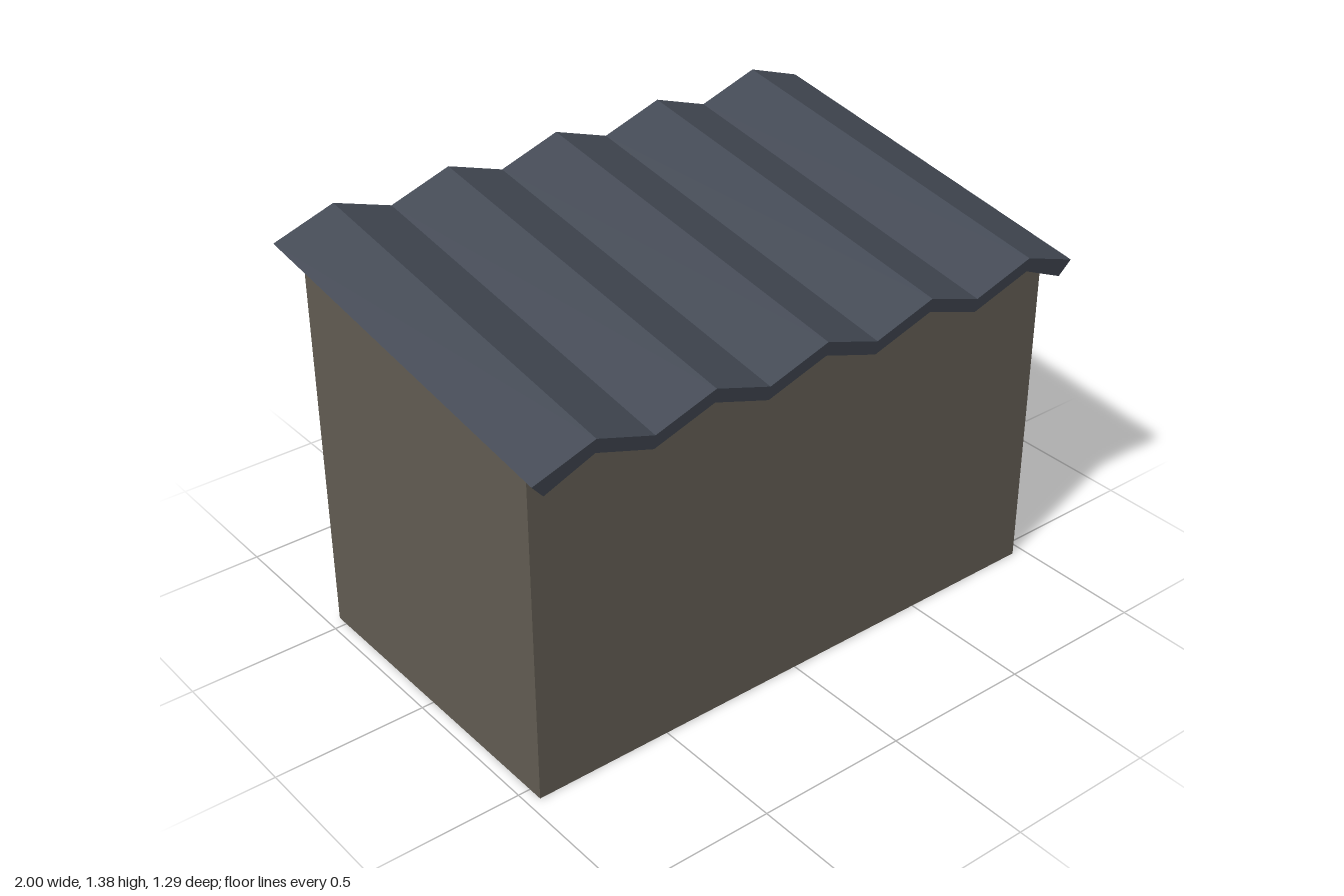
import * as THREE from 'three';

const mat = (color) => new THREE.MeshStandardMaterial({ color, flatShading: true });
const wallMat = mat(0x625c52), roofMat = mat(0x424853), frameMat = mat(0x484848);
const doorMat = mat(0x757178), floorMat = mat(0x3a2012), woodMat = mat(0x6b4520), metalMat = mat(0x55555a);

const poly = (pts) => new THREE.Shape(pts.map(([x, y]) => new THREE.Vector2(x, y)));
const rect = (x0, x1, y0, y1) => poly([[x0, y0], [x1, y0], [x1, y1], [x0, y1]]);
const extrude = (shape, depth) => new THREE.ExtrudeGeometry(shape, { depth, bevelEnabled: false, curveSegments: 8 });

export function createModel() {
  const model = new THREE.Group();
  const add = (name, geo, material, x = 0, y = 0, z = 0, parent = model) => {
    const mesh = new THREE.Mesh(geo, material);
    mesh.name = name;
    mesh.position.set(x, y, z);
    parent.add(mesh);
    return mesh;
  };
  const box = (name, w, h, d, material, x, y, z, parent) =>
    add(name, new THREE.BoxGeometry(w, h, d), material, x, y, z, parent);

  const W = 0.96, T = 0.03, zF = 0.55, zB = -0.54;
  const topAt = (z) => 1.205 - 0.147 * z;

  // Plain wall and sloping side walls
  box('frontWall', 2 * W, topAt(zF), T, wallMat, 0, topAt(zF) / 2, zF - T / 2);
  for (const s of [-1, 1]) {
    const side = poly([[-zF + T, 0], [-zB - T, 0], [-zB - T, topAt(zB + T)], [-zF + T, topAt(zF - T)]]);
    const wall = add('sideWall', extrude(side, T), wallMat, s > 0 ? W - T : -W);
    wall.rotation.y = Math.PI / 2;
  }

  // Door wall with doorway and two window openings
  const hB = topAt(zB);
  const back = poly([[-W, 0], [-0.47, 0], [-0.47, 1.11], [0.47, 1.11], [0.47, 0], [W, 0], [W, hB], [-W, hB]]);
  for (const s of [-1, 1]) back.holes.push(rect(s * 0.705 - 0.095, s * 0.705 + 0.095, 0.735, 0.925));
  add('doorWall', extrude(back, T), wallMat, 0, 0, zB);

  // Diagonal lattice in each window
  for (const s of [-1, 1]) {
    const grille = new THREE.Group();
    grille.name = 'windowLattice';
    grille.position.set(s * 0.705, 0.83, zB + T / 2);
    for (const dir of [-1, 1]) {
      for (const d of [-0.07, 0, 0.07]) {
        const length = 2 * (0.095 * Math.SQRT2 - Math.abs(d));
        const a = dir * Math.PI / 4;
        const bar = box('latticeBar', length, 0.006, 0.006, metalMat, -Math.sin(a) * d, Math.cos(a) * d, dir * 0.002, grille);
        bar.rotation.z = a;
      }
    }
    model.add(grille);
  }

  // Floor, reaching under the door
  box('floor', 2 * (W - T), 0.02, zF - zB - 2 * T, floorMat, 0, 0.015, (zF + zB) / 2);
  box('threshold', 0.9, 0.02, 0.045, floorMat, 0, 0.015, -0.527);

  // Door frame
  const frame = poly([[-0.484, 0], [-0.45, 0], [-0.45, 1.09], [0.45, 1.09], [0.45, 0], [0.484, 0], [0.484, 1.125], [-0.484, 1.125]]);
  add('doorFrame', extrude(frame, 0.065), frameMat, 0, 0, -0.555);

  // Door with two slots
  const door = rect(-0.45, 0.45, 0.025, 1.09);
  for (const s of [-1, 1]) door.holes.push(rect(s * 0.223 - 0.112, s * 0.223 + 0.112, 0.82, 0.92));
  add('door', extrude(door, 0.03), doorMat, 0, 0, -0.545);

  // Arched wooden latch plank
  const plank = new THREE.Shape();
  plank.moveTo(-0.235, 0.49);
  plank.quadraticCurveTo(0, 0.515, 0.235, 0.49);
  plank.lineTo(0.235, 0.545);
  plank.quadraticCurveTo(0, 0.57, -0.235, 0.545);
  add('latchPlank', extrude(plank, 0.013), woodMat, 0, 0, -0.558);

  // Pair of upright pull handles
  for (const s of [-1, 1]) {
    const handle = new THREE.Group();
    handle.name = 'doorHandle';
    handle.position.set(s * 0.042, 0.5375, 0);
    box('grip', 0.022, 0.105, 0.008, metalMat, 0, 0, -0.568, handle);
    for (const e of [-1, 1]) box('standoff', 0.022, 0.01, 0.02, metalMat, 0, e * 0.0475, -0.555, handle);
    model.add(handle);
  }

  // Folded sheet roof: zigzag profile extruded down the slope
  const upper = [], lower = [];
  for (let i = 0; i <= 10; i++) {
    const x = -1 + i * 0.2, peak = i % 2 ? 0.074 : 0;
    upper.push([x, peak]);
    lower.push([THREE.MathUtils.clamp(x, -0.96, 0.96), peak - 0.047]);
  }
  const roof = add('roof', extrude(poly([...lower, ...upper.reverse()]), 1.284), roofMat, 0, 1.303, -0.637);
  roof.rotation.x = Math.atan(0.148);

  return model;
}
